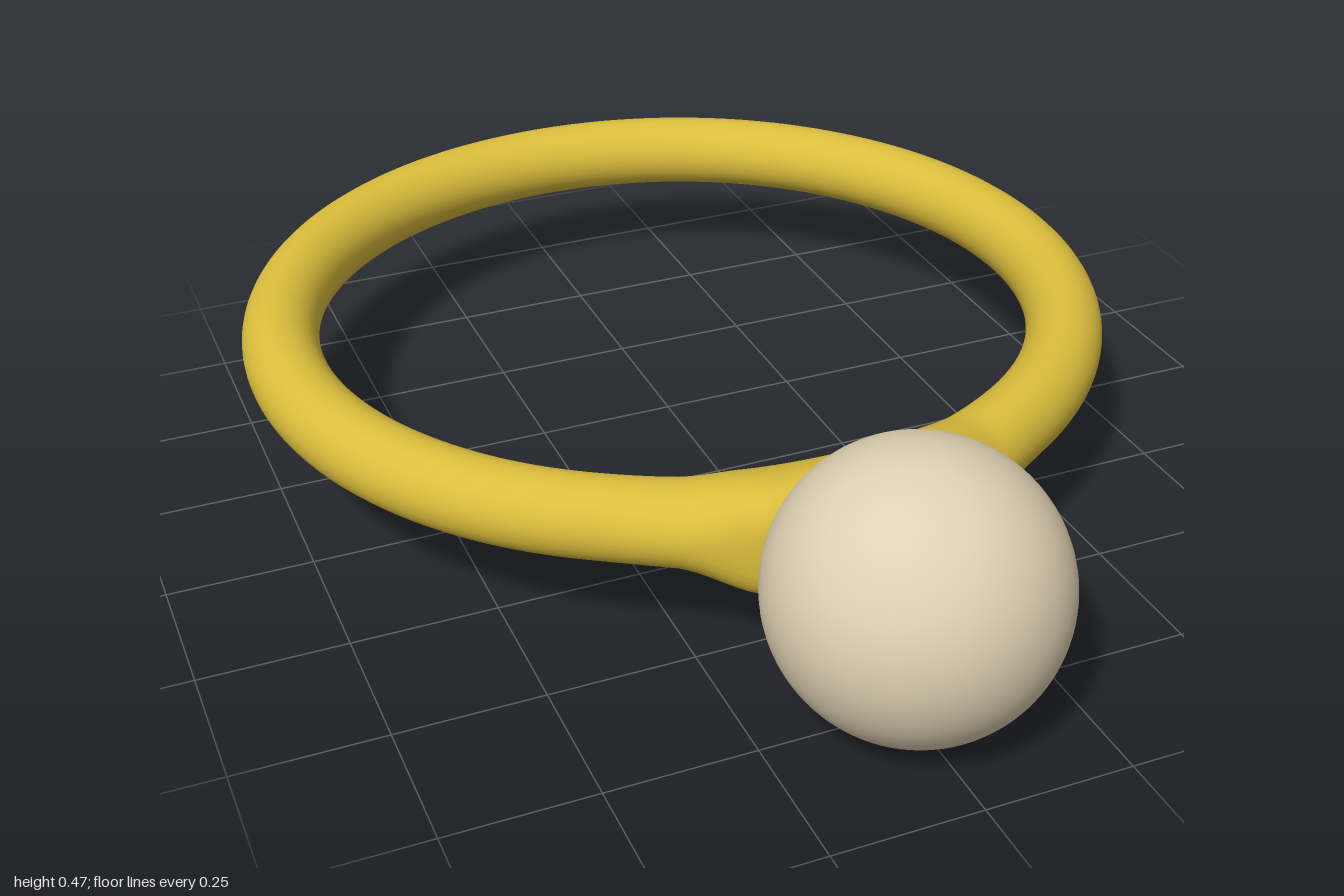
import * as THREE from 'three';

const RING_Z = -0.215, MID_Y = 0.24;
const INNER = 0.648, OUTER = 0.785, TUBE = (OUTER - INNER) / 2;
const SHOULDER = THREE.MathUtils.degToRad(33);
const SEAT = THREE.MathUtils.degToRad(11.6);

// Outer radius: a circle whose front leaves along two tangents to a flat seat
function outerRadius(angle) {
  const a = Math.abs(angle);
  if (a > SHOULDER) return OUTER;
  return Math.min(OUTER / Math.cos(SHOULDER - a), 0.825 / Math.cos(a));
}

// Band swept round the finger, its section taller and squarer at the seat
function bandGeometry(around = 240, sides = 36) {
  const positions = [], index = [];
  for (let i = 0; i < around; i++) {
    const angle = (i / around) * Math.PI * 2 - Math.PI;
    const outer = outerRadius(angle);
    const swell = 1 - THREE.MathUtils.smoothstep(Math.abs(angle), SEAT, 0.38);
    const power = 1 - 0.35 * swell;
    for (let j = 0; j < sides; j++) {
      const phi = (j / sides) * Math.PI * 2;
      const c = Math.cos(phi), s = Math.sin(phi);
      const r = (INNER + outer) / 2 + c * (outer - INNER) / 2;
      const half = TUBE + 0.045 * swell * (1 + c) / 2;
      const y = half * Math.sign(s) * Math.abs(s) ** power;
      positions.push(r * Math.sin(angle), y, r * Math.cos(angle));

      const i2 = (i + 1) % around, j2 = (j + 1) % sides;
      const a = i * sides + j, b = i2 * sides + j;
      const d = i * sides + j2, e = i2 * sides + j2;
      index.push(a, b, e, a, e, d);
    }
  }
  const geometry = new THREE.BufferGeometry();
  geometry.setAttribute('position', new THREE.Float32BufferAttribute(positions, 3));
  geometry.setIndex(index);
  geometry.computeVertexNormals();
  return geometry;
}

export function createModel() {
  const group = new THREE.Group();
  group.name = 'pearlRing';

  const band = new THREE.Mesh(bandGeometry(), new THREE.MeshStandardMaterial({ color: 0xdcbe3c }));
  band.name = 'band';
  band.position.set(0, MID_Y, RING_Z);

  // Pearl pressed into the seat at the front
  const pearl = new THREE.Mesh(
    new THREE.SphereGeometry(0.237, 64, 48),
    new THREE.MeshStandardMaterial({ color: 0xded0b2 })
  );
  pearl.name = 'pearl';
  pearl.position.set(0, MID_Y, 0.763);

  group.add(band, pearl);
  return group;
}
